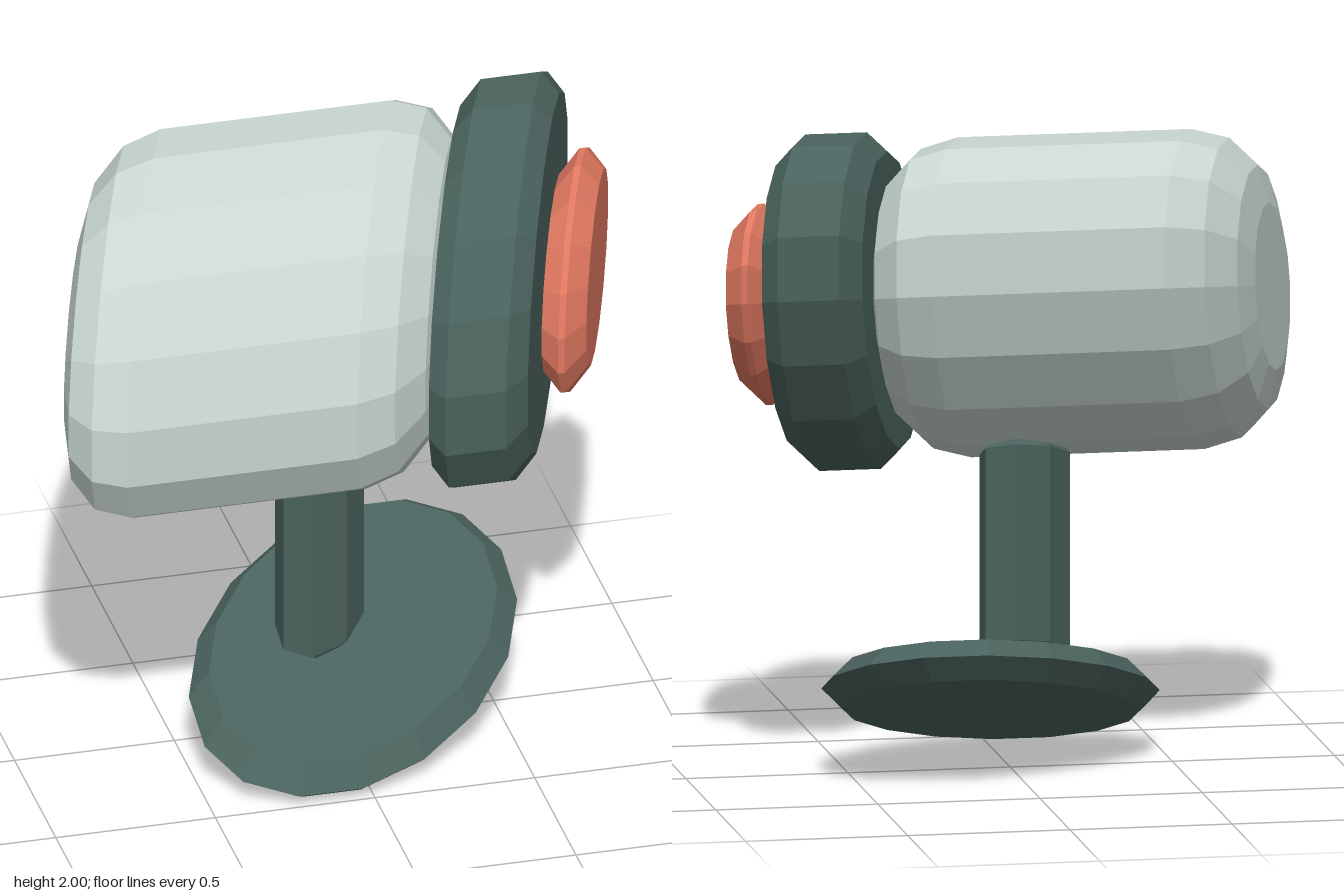
import * as THREE from 'three';

const paint = (color) => new THREE.MeshStandardMaterial({ color, flatShading: true });
const SHELL = paint(0xc8d6cf);
const DARK = paint(0x4a625d);
const CORAL = paint(0xe07860);

// The whole model leans: x and y slide with depth
const LEAN = new THREE.Matrix4().set(
  1, 0, -0.4, 0,
  0, 1, -0.41, 0,
  0, 0, 1, 0,
  0, 0, 0, 1
);

// Bevelled disc or cylinder: rounds both ends of a solid of given radius
function bevelled(radius, from, to, bevel, steps) {
  const start = [], end = [];
  for (let i = 0; i <= steps; i++) {
    const a = (i / steps) * Math.PI / 2;
    const r = radius - bevel * (1 - Math.sin(a));
    const d = bevel * (1 - Math.cos(a));
    start.push(new THREE.Vector2(r, from + d));
    end.unshift(new THREE.Vector2(r, to - d));
  }
  return [new THREE.Vector2(0, from), ...start, ...end, new THREE.Vector2(0, to)];
}

function turned(name, profile, material, { sides = 16, turn = Math.PI / 16, sideways = false, at = [0, 0, 0] }) {
  let geo = new THREE.LatheGeometry(profile, sides, turn);
  if (sideways) geo.rotateZ(-Math.PI / 2);
  geo.translate(...at);
  geo.applyMatrix4(LEAN);
  geo = geo.toNonIndexed();
  geo.computeVertexNormals();
  const mesh = new THREE.Mesh(geo, material);
  mesh.name = name;
  return mesh;
}

export function createModel() {
  const model = new THREE.Group();
  model.name = 'mountedCamera';
  const barrel = { sideways: true, at: [0, 1.459, 0] };

  model.add(
    // Rounded body, front collar and lens share one axis along x
    turned('body', bevelled(0.485, -0.81, 0.37, 0.23, 3), SHELL, barrel),
    turned('collar', bevelled(0.51, 0.36, 0.67, 0.06, 1), DARK, barrel),
    turned('lens', bevelled(0.305, 0.685, 0.825, 0.06, 1), CORAL, barrel),
    // Post and round foot
    turned('post', bevelled(0.14, 0.305, 1.03, 0.06, 1), DARK, { sides: 8, turn: 0, at: [-0.045, 0, 0] }),
    turned('basePlate', bevelled(0.51, 0.182, 0.307, 0.0624, 1), DARK, { at: [0.06, 0, 0] })
  );
  return model;
}
